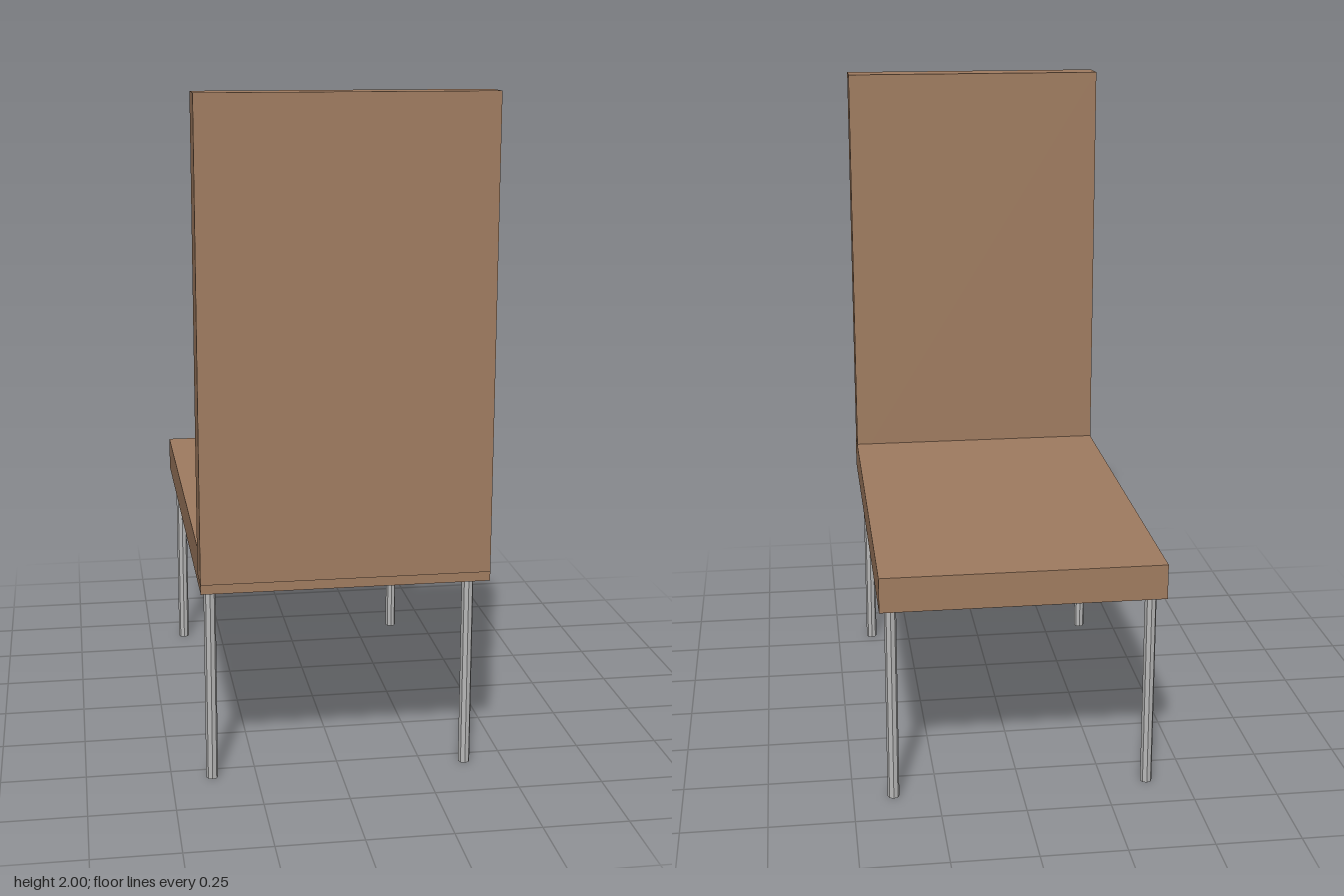
import * as THREE from 'three';

export function createModel() {
  const model = new THREE.Group();
  model.name = 'chair';

  const wood = new THREE.MeshStandardMaterial({ color: 0xa07c60 });
  wood.name = 'brown wood';
  const metal = new THREE.MeshStandardMaterial({ color: 0xb8b8b8, flatShading: true });
  metal.name = 'grey metal';

  // Box given by its lower and upper corners
  const slab = (name, [x0, y0, z0], [x1, y1, z1]) => {
    const mesh = new THREE.Mesh(new THREE.BoxGeometry(x1 - x0, y1 - y0, z1 - z0), wood);
    mesh.position.set((x0 + x1) / 2, (y0 + y1) / 2, (z0 + z1) / 2);
    mesh.name = name;
    model.add(mesh);
  };

  // Long seat, with the upright panel overlapping its +z end
  slab('seat', [-0.416, 0.615, -0.682], [0.416, 0.72, 0.678]);
  slab('backrest', [-0.417, 0.643, 0.575], [0.415, 2, 0.682]);

  // Four thin faceted legs
  const legHeight = 0.62;
  const legGeometry = new THREE.CylinderGeometry(0.0175, 0.0175, legHeight, 8);
  for (const [end, z] of [['front', 0.551], ['back', -0.615]]) {
    for (const [side, x] of [['Left', 0.381], ['Right', -0.381]]) {
      const leg = new THREE.Mesh(legGeometry, metal);
      leg.position.set(x, legHeight / 2, z);
      leg.name = `${end}${side}Leg`;
      model.add(leg);
    }
  }

  return model;
}
